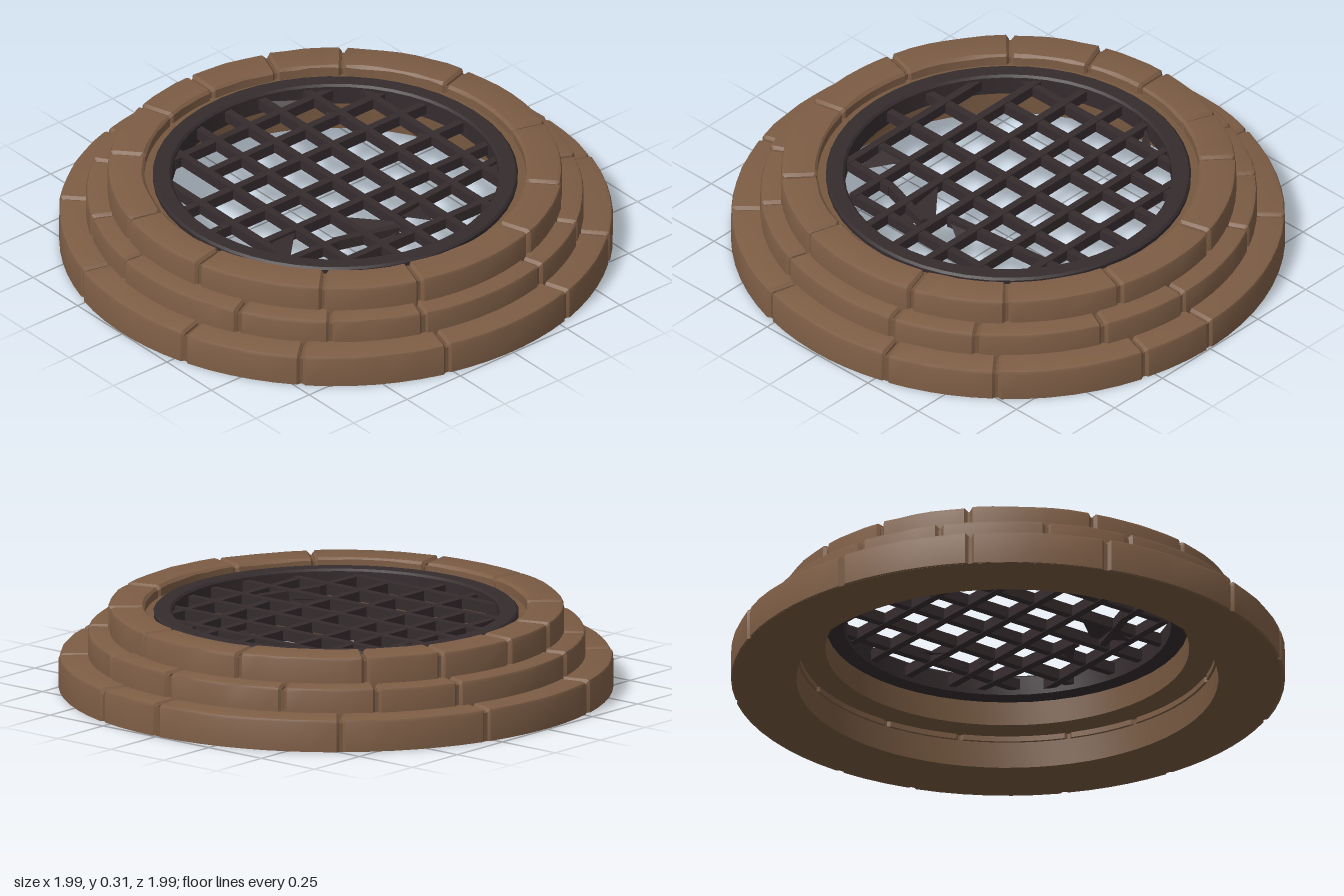
import * as THREE from 'three';
import { toCreasedNormals } from 'three/addons/utils/BufferGeometryUtils.js';

const stone = new THREE.MeshStandardMaterial({ color: 0x7d5d45 });
stone.name = 'brownStone';
const mortar = new THREE.MeshStandardMaterial({ color: 0x765840 });
mortar.name = 'mortar';
const iron = new THREE.MeshStandardMaterial({ color: 0x352c2e, side: THREE.DoubleSide });
iron.name = 'darkIron';

let seed = 7;
const jitter = (amount) => {
  seed = (seed * 16807) % 2147483647;
  return (seed / 2147483647 - 0.5) * 2 * amount;
};

function addMesh(parent, name, geometry, material) {
  const mesh = new THREE.Mesh(geometry, material);
  mesh.name = name;
  parent.add(mesh);
  return mesh;
}

// Closed ring turned from a counter-clockwise (radius, y) profile
function ring(profile, sides) {
  const points = [...profile, profile[0]].map(([r, y]) => new THREE.Vector2(r, y));
  return toCreasedNormals(new THREE.LatheGeometry(points, sides), 0.5);
}

// Curved block with worn edges, swept between two angles in degrees
function block(r0, r1, y0, y1, from, to) {
  const start = THREE.MathUtils.degToRad(from);
  const end = THREE.MathUtils.degToRad(to);
  const gap = 0.005 / r1;
  const round = 0.011 / r1;
  const steps = Math.max(2, Math.round((to - from) / 5));
  const angles = [start + gap];
  for (let i = 0; i <= steps; i++) {
    angles.push(start + gap + round + ((end - start - 2 * gap - 2 * round) * i) / steps);
  }
  angles.push(end - gap);

  const rOut = r1 - 0.003 + jitter(0.003);
  const top = y1 - 0.002 + jitter(0.003);
  const positions = [];
  const indices = [];
  const count = 7;
  angles.forEach((angle, s) => {
    const inset = s === 0 || s === angles.length - 1 ? 0.01 : 0;
    const b = 0.013 + jitter(0.004);
    const outer = rOut - inset;
    const inner = r0 + inset;
    const high = top - inset;
    const section = [
      [inner, y0], [outer, y0], [outer, high - b], [outer - b * 0.3, high - b * 0.3],
      [outer - b, high], [inner + b * 0.7, high], [inner, high - b * 0.7],
    ];
    section.forEach(([r, y]) => positions.push(r * Math.cos(angle), y, r * Math.sin(angle)));
  });
  for (let s = 0; s < angles.length - 1; s++) {
    for (let p = 0; p < count; p++) {
      const a = s * count + p;
      const b = s * count + ((p + 1) % count);
      indices.push(a, b, a + count, b, b + count, a + count);
    }
  }
  const last = (angles.length - 1) * count;
  for (let p = 1; p < count - 1; p++) {
    indices.push(0, p + 1, p, last, last + p, last + p + 1);
  }
  const geometry = new THREE.BufferGeometry();
  geometry.setAttribute('position', new THREE.Float32BufferAttribute(positions, 3));
  geometry.setIndex(indices);
  return toCreasedNormals(geometry, 0.45);
}

// Straight grate bar between two (x, z) points
function addBar(parent, name, [x0, z0], [x1, z1], y) {
  const length = Math.hypot(x1 - x0, z1 - z0);
  const bar = addMesh(parent, name, new THREE.BoxGeometry(length, 0.04, 0.029), iron);
  bar.position.set((x0 + x1) / 2, y, (z0 + z1) / 2);
  bar.rotation.y = -Math.atan2(z1 - z0, x1 - x0);
}

// Thin torn scrap; the first corner hangs below the grate
function scrap(corners) {
  const positions = corners.flatMap(([x, z], i) => [x, i === 0 ? 0.215 : 0.258, z]);
  const geometry = new THREE.BufferGeometry();
  geometry.setAttribute('position', new THREE.Float32BufferAttribute(positions, 3));
  geometry.setIndex(corners.length === 4 ? [0, 2, 1, 0, 3, 2] : [0, 2, 1]);
  geometry.computeVertexNormals();
  return geometry;
}

export function createModel() {
  const model = new THREE.Group();
  model.name = 'steppedStoneGrate';

  // Stepped core behind the joints, with the recessed underside
  addMesh(model, 'stoneCore', ring([
    [0.76, 0], [0.988, 0], [0.988, 0.105], [0.888, 0.105], [0.888, 0.195], [0.808, 0.195],
    [0.808, 0.29], [0.7, 0.29], [0.7, 0.265], [0.655, 0.265], [0.655, 0.12], [0.76, 0.12],
  ], 72), mortar);

  // Three tiers of curved blocks
  const tiers = [
    { name: 'lowerTier', r0: 0.8, r1: 1, y0: 0.0005, y1: 0.123,
      joints: [-164, -135, -106, -73.5, -41.5, 0, 17, 49, 73, 106, 137, 163] },
    { name: 'middleTier', r0: 0.75, r1: 0.9, y0: 0.1, y1: 0.213,
      joints: [-172, -152, -127, -107, -70, -50, -28, 2, 24, 54, 74.5, 109, 131, 153] },
    { name: 'upperTier', r0: 0.688, r1: 0.822, y0: 0.19, y1: 0.308,
      joints: [-165, -133, -109, -90, -68, -48, -15, 17, 47, 72, 108, 133, 167] },
  ];
  for (const { name, r0, r1, y0, y1, joints } of tiers) {
    const tier = new THREE.Group();
    tier.name = name;
    joints.forEach((from, i) => {
      const to = i + 1 < joints.length ? joints[i + 1] : joints[0] + 360;
      addMesh(tier, 'stoneBlock', block(r0, r1, y0, y1, from, to), stone);
    });
    model.add(tier);
  }

  // Iron rim
  const grate = new THREE.Group();
  grate.name = 'grate';
  model.add(grate);
  addMesh(grate, 'ironRim', ring([
    [0.59, 0.21], [0.654, 0.21], [0.658, 0.28], [0.65, 0.288], [0.598, 0.288], [0.59, 0.28],
  ], 48), iron);

  // Bars running front to back: x, back end, front end
  [
    [-0.48, -0.36, 0.33], [-0.33, -0.5, 0.47], [-0.165, -0.58, 0.58], [-0.01, -0.6, 0.6],
    [0.14, -0.58, 0.58], [0.3, -0.52, 0.52], [0.457, -0.39, 0.39],
  ].forEach(([x, z0, z1]) => {
    addBar(grate, 'lengthBar', [x + jitter(0.006), z0], [x + jitter(0.006), z1], 0.25);
  });

  // Bars running side to side, some broken or bent
  [
    [[-0.37, -0.47], [0.37, -0.47]], [[-0.33, -0.325], [0.5, -0.33]],
    [[-0.57, -0.18], [0.57, -0.18]], [[-0.6, 0], [0.6, 0]],
    [[-0.48, 0.17], [0.57, 0.175]], [[-0.48, 0.32], [-0.27, 0.33]],
    [[-0.28, 0.325], [-0.04, 0.4]], [[0.01, 0.32], [0.53, 0.275]],
    [[-0.34, 0.455], [0.38, 0.465]],
  ].forEach(([a, b]) => addBar(grate, 'crossBar', a, b, 0.247));

  // Torn scraps caught between the bars
  [
    [[0.2, -0.47], [0.14, -0.57], [0.27, -0.47]],
    [[0.22, -0.33], [0.3, -0.4], [0.3, -0.33]],
    [[0.31, 0], [0.457, -0.06], [0.457, 0]],
    [[0.31, 0.12], [0.42, 0.18], [0.31, 0.18]],
    [[-0.48, 0.31], [-0.45, 0.18], [-0.34, 0.18]],
    [[-0.16, 0.45], [-0.16, 0.2], [-0.02, 0.36], [-0.03, 0.4]],
    [[0.13, 0.39], [-0.01, 0.31], [0.13, 0.31]],
    [[0.457, 0.4], [0.457, 0.3], [0.56, 0.27]],
  ].forEach((corners) => addMesh(grate, 'scrap', scrap(corners), iron));

  return model;
}
